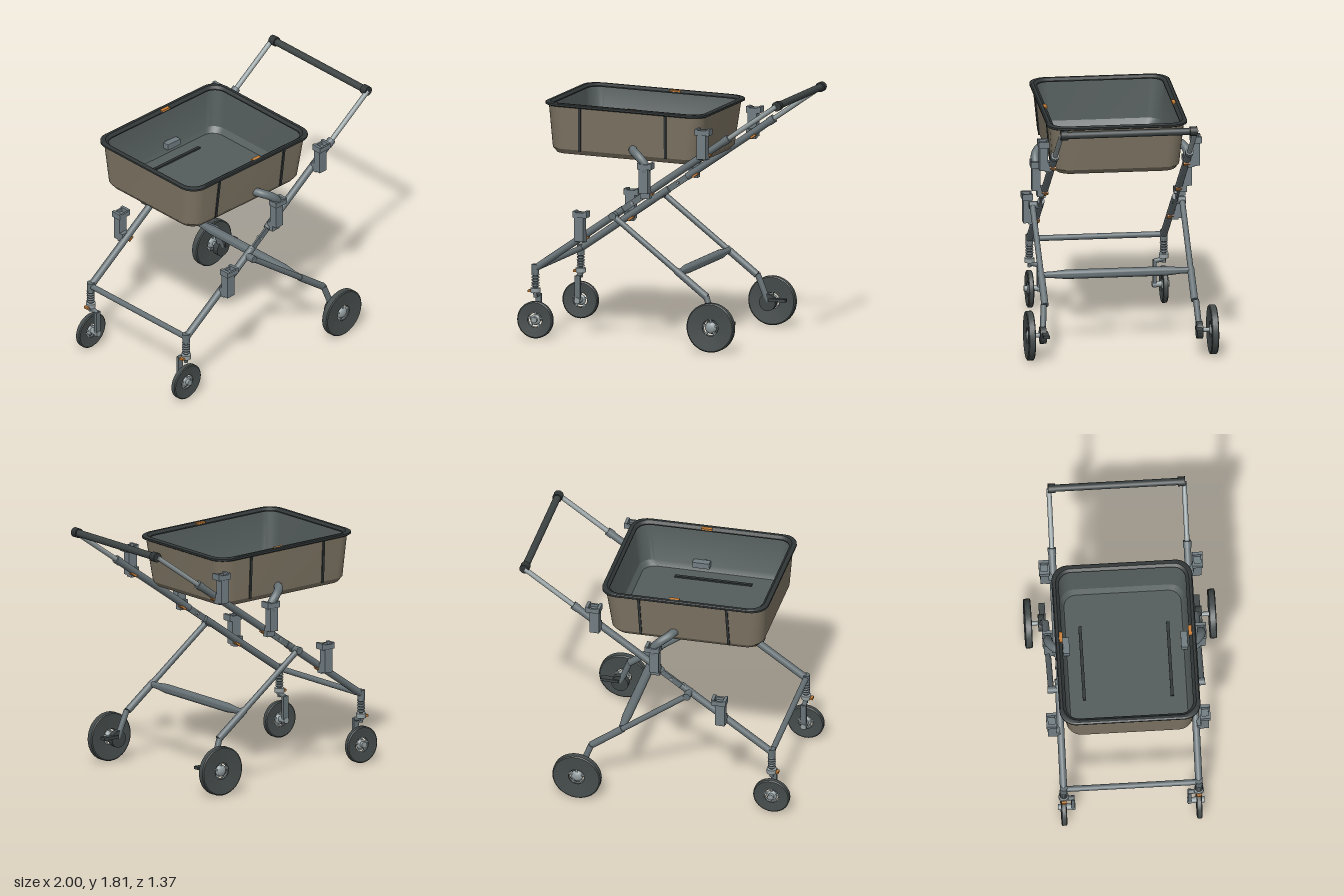
import * as THREE from 'three';
import { toCreasedNormals } from 'three/addons/utils/BufferGeometryUtils.js';

const mat = (name, color, side = THREE.FrontSide) => {
  const m = new THREE.MeshStandardMaterial({ color, side });
  m.name = name;
  return m;
};

export function createModel() {
  const M = {
    frame: mat('frame grey', 0x667175),
    metal: mat('light metal', 0x939d9f),
    clamp: mat('clamp grey', 0x717d82),
    rubber: mat('tyre rubber', 0x454c4b),
    grip: mat('grip dark', 0x3d4343),
    shell: mat('taupe shell', 0x7d7463, THREE.DoubleSide),
    lining: mat('tub lining', 0x545d5c, THREE.DoubleSide),
    trim: mat('dark trim', 0x303535),
    orange: mat('orange', 0xcc8138),
  };
  const root = new THREE.Group();
  const add = (name, geo, m, pos = [0, 0, 0], parent = root) => {
    const mesh = new THREE.Mesh(geo, m);
    mesh.name = name;
    mesh.position.set(...pos);
    parent.add(mesh);
    return mesh;
  };
  const box = (name, size, pos, m, parent) => add(name, new THREE.BoxGeometry(...size), m, pos, parent);
  // round bar from a to b
  const rod = (name, a, b, ra, m, rb = ra, parent = root) => {
    const A = new THREE.Vector3(...a), B = new THREE.Vector3(...b);
    const d = B.clone().sub(A);
    const mesh = add(name, new THREE.CylinderGeometry(rb, ra, d.length(), 20), m,
      A.clone().add(B).multiplyScalar(0.5).toArray(), parent);
    mesh.quaternion.setFromUnitVectors(new THREE.Vector3(0, 1, 0), d.normalize());
    return mesh;
  };
  const lathe = (pts, seg = 40) => toCreasedNormals(
    new THREE.LatheGeometry(pts.map(p => new THREE.Vector2(...p)), seg), 0.6);

  // ---- tub: lofted rounded rectangles, rows of [y, halfX, halfZ, cornerRadius]
  const loft = (rows, closeIndex) => {
    const n = 8, pos = [], idx = [], per = 4 * (n + 1);
    for (const [y, hx, hz, r] of rows)
      for (let q = 0; q < 4; q++)
        for (let i = 0; i <= n; i++) {
          const a = (q + i / n) * Math.PI / 2;
          const sx = q === 0 || q === 3 ? 1 : -1, sz = q < 2 ? 1 : -1;
          pos.push(sx * (hx - r) + r * Math.cos(a), y, sz * (hz - r) + r * Math.sin(a));
        }
    for (let k = 0; k < rows.length - 1; k++)
      for (let i = 0; i < per; i++) {
        const j = (i + 1) % per, a = k * per + i, b = k * per + j;
        idx.push(a, a + per, b, b, a + per, b + per);
      }
    if (closeIndex !== undefined) {
      const c = pos.length / 3, o = closeIndex * per;
      pos.push(0, rows[closeIndex][0], 0);
      for (let i = 0; i < per; i++) {
        const j = (i + 1) % per;
        if (closeIndex === 0) idx.push(c, o + i, o + j);
        else idx.push(c, o + j, o + i);
      }
    }
    const g = new THREE.BufferGeometry();
    g.setAttribute('position', new THREE.Float32BufferAttribute(pos, 3));
    g.setIndex(idx);
    return toCreasedNormals(g, 0.5);
  };
  const tub = new THREE.Group();
  tub.name = 'tub';
  tub.position.set(-0.22, 1.33, 0);
  tub.rotation.z = -0.033;
  root.add(tub);
  add('tubShell', loft([[0, 0.535, 0.43, 0.1], [0.035, 0.562, 0.455, 0.11], [0.35, 0.592, 0.485, 0.11]], 0),
    M.shell, [0, 0, 0], tub);
  add('tubLining', loft([[0.355, 0.578, 0.468, 0.1], [0.06, 0.55, 0.443, 0.1], [0.02, 0.522, 0.42, 0.09]], 2),
    M.lining, [0, 0, 0], tub);
  add('tubRim', loft([[0.355, 0.565, 0.455, 0.09], [0.346, 0.565, 0.455, 0.09], [0.346, 0.605, 0.498, 0.12],
    [0.352, 0.615, 0.506, 0.12], [0.366, 0.615, 0.506, 0.12], [0.372, 0.605, 0.498, 0.12],
    [0.372, 0.585, 0.478, 0.11], [0.355, 0.565, 0.455, 0.09]]), M.trim, [0, 0, 0], tub);
  for (const s of [1, -1]) {
    for (const x of [-0.325, 0.325]) {
      const rib = box('tubRib', [0.018, 0.32, 0.012], [x, 0.19, s * 0.472], M.trim, tub);
      rib.rotation.x = s * 0.095;
    }
    box('floorRail', [0.57, 0.012, 0.022], [-0.01, 0.027, s * 0.315], M.trim, tub);
    box('innerLatch', [0.125, 0.045, 0.05], [0.105, 0.08, s * 0.425], M.clamp, tub);
    box('rimTab', [0.075, 0.012, 0.028], [0.065, 0.364, s * 0.465], M.orange, tub);
  }

  // ---- wheel around the z axis: dished tyre, spokes and hub
  const wheel = (name, r, hole, w, pos) => {
    const g = new THREE.Group();
    g.name = name;
    g.position.set(...pos);
    root.add(g);
    const h = w / 2;
    add('tyre', lathe([[hole, -h * 0.65], [r - 0.008, -h], [r, -h + 0.006], [r, h - 0.006],
      [r - 0.008, h], [hole, h * 0.65], [hole, -h * 0.65]]), M.rubber, [0, 0, 0], g).rotation.x = Math.PI / 2;
    add('hubRing', new THREE.TorusGeometry(hole, 0.006, 8, 32), M.metal, [0, 0, 0], g);
    const hub = add('hub', new THREE.SphereGeometry(hole * 0.72, 20, 14), M.metal, [0, 0, 0], g);
    hub.scale.z = Math.min(1, h / (hole * 0.72));
    for (let i = 0; i < 5; i++) {
      const a = i * Math.PI * 0.4 + 0.3;
      box('spoke', [hole * 0.5, 0.012, w * 0.5],
        [Math.cos(a) * hole * 0.8, Math.sin(a) * hole * 0.8, 0], M.metal, g).rotation.z = a;
    }
  };

  const railY = x => 0.51 + (x + 0.87) * 0.694;
  const slope = Math.atan(0.694);
  for (const s of [1, -1]) {
    const z = s * 0.485;
    const P = (x, d = 0.485) => [x, railY(x), s * d];

    // sloping side rail in sections with a hinge plate between
    rod('lowerRail', P(-0.87), P(-0.2), 0.026, M.frame);
    rod('upperRail', P(-0.06), P(0.59), 0.026, M.frame);
    rod('railCollar', P(0.56), P(0.6), 0.03, M.frame);
    rod('handleRail', P(0.58), P(0.96), 0.018, M.metal);
    box('hingePlate', [0.24, 0.045, 0.014], P(-0.13, 0.492), M.frame).rotation.z = slope;
    rod('hingePin', P(-0.13, 0.465), P(-0.13, 0.505), 0.01, M.metal);

    // crossing rear leg with pivot and lower sleeve
    const leg = (x, d = 0.54) => [x, 0.93 - (x + 0.26) * 0.775, s * d];
    rod('rearLeg', leg(-0.27), leg(0.3), 0.021, M.frame);
    rod('rearLegSleeve', leg(0.22), leg(0.45), 0.026, M.frame);
    rod('legPivot', leg(-0.26, 0.47), leg(-0.26, 0.565), 0.027, M.frame);
    rod('axleStrut', [0.45, 0.385, s * 0.55], [0.525, 0.18, s * 0.565], 0.022, M.frame);
    rod('brakeDrum', [0.525, 0.18, s * 0.543], [0.525, 0.18, s * 0.587], 0.062, M.grip);
    rod('rearAxle', [0.525, 0.18, s * 0.58], [0.525, 0.18, s * 0.66], 0.016, M.metal);
    box('brakePedal', [0.13, 0.022, 0.045], [0.6, 0.2, s * 0.555], M.grip);
    wheel('rearWheel', 0.178, 0.06, 0.052, [0.525, 0.18, s * 0.661]);

    // sprung front caster
    const cx = -0.87;
    rod('casterCap', [cx, 0.47, z], [cx, 0.54, z], 0.027, M.frame);
    rod('casterPost', [cx, 0.3, z], [cx, 0.48, z], 0.015, M.frame);
    for (let i = 0; i < 5; i++)
      add('springCoil', new THREE.TorusGeometry(0.021, 0.008, 8, 20), M.frame,
        [cx, 0.385 + i * 0.02, z]).rotation.x = Math.PI / 2;
    rod('casterCollar', [cx, 0.335, z], [cx, 0.368, z], 0.036, M.metal);
    box('casterLock', [0.025, 0.016, 0.035], [-0.91, 0.345, z], M.orange);
    rod('forkShoulder', [cx, 0.33, s * 0.495], [cx, 0.31, s * 0.415], 0.017, M.frame);
    box('forkArm', [0.042, 0.2, 0.024], [cx, 0.22, s * 0.418], M.frame);
    rod('frontAxle', [cx, 0.14, s * 0.4], [cx, 0.14, s * 0.525], 0.022, M.metal);
    wheel('frontWheel', 0.134, 0.055, 0.04, [cx, 0.137, z]);

    // accessory sockets on the rail: post, hollow head, orange latch
    for (const [x, y] of [[-0.5, 0.955], [-0.01, 1.33], [0.43, 1.6]]) {
      box('socketPost', [0.07, 0.19, 0.06], [x - 0.01, y - 0.125, s * 0.548], M.clamp);
      for (const k of [-1, 1]) {
        box('socketEnd', [0.022, 0.045, 0.075], [x + k * 0.043, y - 0.022, s * 0.55], M.clamp);
        box('socketSide', [0.1, 0.036, 0.014], [x, y - 0.027, s * (0.55 + k * 0.031)], M.clamp);
      }
      box('socketFloor', [0.1, 0.01, 0.07], [x, y - 0.042, s * 0.55], M.clamp);
      box('socketBridge', [0.07, 0.07, 0.05], [x - 0.01, railY(x - 0.01), s * 0.515], M.clamp);
      box('railLatch', [0.045, 0.014, 0.045], [x + 0.015, railY(x + 0.015) - 0.03, s * 0.482],
        M.orange).rotation.z = slope;
    }

    // curved tub support arm
    const arm = new THREE.CatmullRomCurve3([[-0.145, 1.405, 0.44], [-0.12, 1.4, 0.5],
      [-0.06, 1.365, 0.545], [-0.015, 1.31, 0.55], [-0.01, 1.26, 0.55]]
      .map(([x, y, d]) => new THREE.Vector3(x, y, s * d)));
    add('supportArm', new THREE.TubeGeometry(arm, 24, 0.031, 16), M.frame);

    rod('gripCap', [0.962, 1.78, s * 0.44], [0.962, 1.78, s * 0.492], 0.035, M.trim);
  }

  // ---- cross members
  rod('handleGrip', [0.962, 1.78, -0.45], [0.962, 1.78, 0.45], 0.026, M.grip);
  rod('frontCrossbar', [-0.87, 0.51, -0.47], [-0.87, 0.51, 0.47], 0.021, M.frame);
  add('rearCrossbar', lathe([[0, -0.53], [0.022, -0.53], [0.024, -0.46], [0.034, -0.36],
    [0.034, 0.36], [0.024, 0.46], [0.022, 0.53], [0, 0.53]], 24), M.frame, [0.235, 0.545, 0])
    .rotation.x = Math.PI / 2;

  return root;
}
